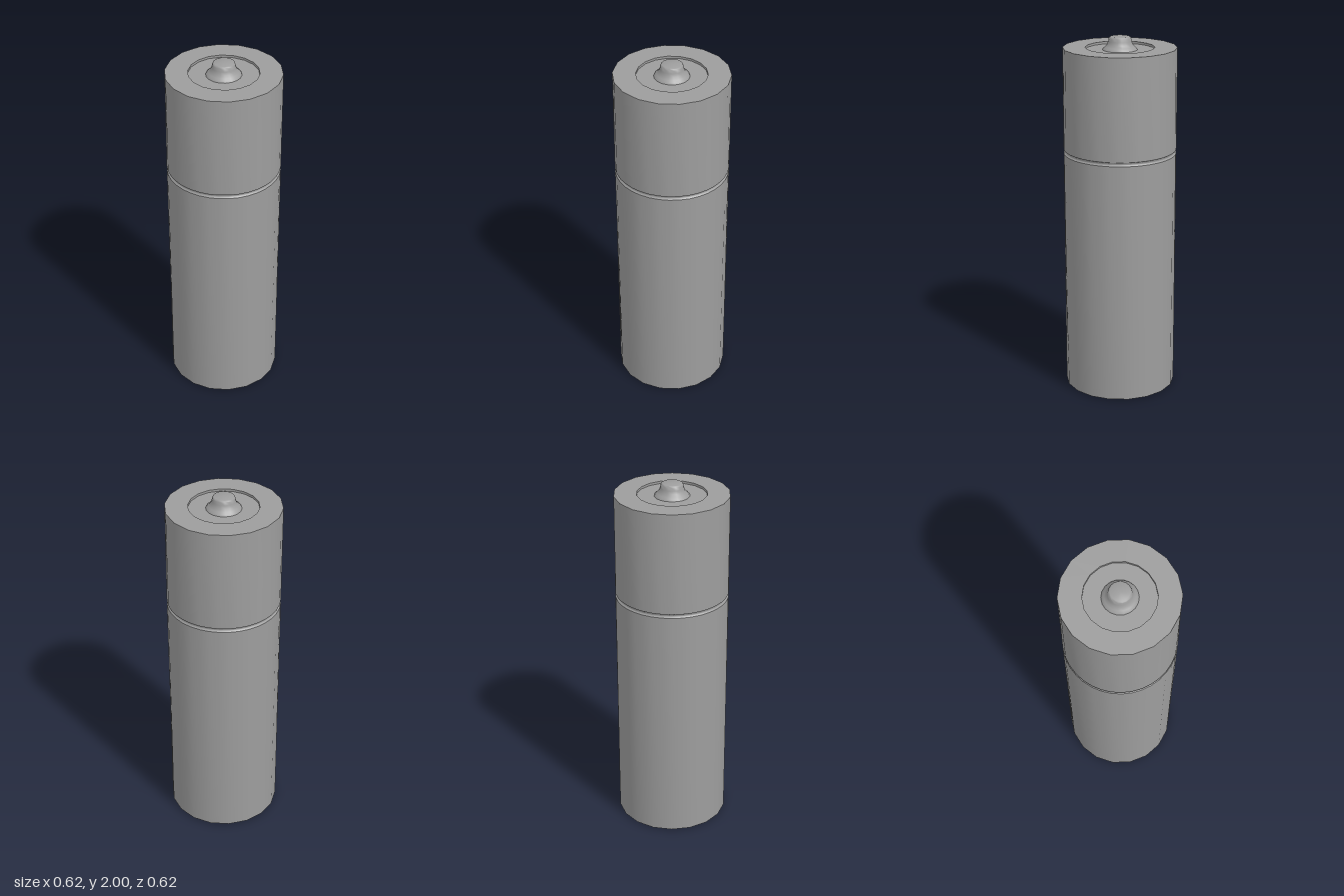
import * as THREE from 'three';
import { toCreasedNormals } from 'three/addons/utils/BufferGeometryUtils.js';

const R = 0.31;
const material = new THREE.MeshStandardMaterial({ color: 0x9d9d9d });

// Lathe from [radius, height] pairs
function lathe(profile, sides, start = 0) {
  const points = profile.map(([r, y]) => new THREE.Vector2(r, y));
  return new THREE.LatheGeometry(points, sides, start, Math.PI * 2);
}

function part(name, geometry, crease = 0.6) {
  const mesh = new THREE.Mesh(toCreasedNormals(geometry, crease), material);
  mesh.name = name;
  return mesh;
}

// Sleeve: 36 sides at the groove, narrowing to 18 sides at the outer end
function sleeve(name, grooveY, endY) {
  const ys = [grooveY, endY].sort((a, b) => a - b);
  const geometry = lathe(ys.map((y) => [R, y]), 36);
  const pos = geometry.attributes.position;
  const k = Math.cos(Math.PI / 18);
  for (let i = 0; i < pos.count; i++) {
    const column = Math.floor(i / 2);
    if (column % 2 === 0 && Math.abs(pos.getY(i) - endY) < 0.01) {
      pos.setX(i, pos.getX(i) * k);
      pos.setZ(i, pos.getZ(i) * k);
    }
  }
  return part(name, geometry);
}

export function createModel() {
  const group = new THREE.Group();
  group.name = 'battery';
  const capStart = Math.PI / 18;

  // Cylindrical casing in two sections with a shallow groove between them
  group.add(sleeve('lowerCasing', 1.36, 0.005));
  group.add(part('groove', lathe([
    [R, 1.36], [R - 0.007, 1.364], [R - 0.009, 1.371], [R - 0.007, 1.378], [R, 1.382],
  ], 36), 0.9));
  group.add(sleeve('upperCasing', 1.382, 1.942));

  // Top face with its recessed disc
  group.add(part('topCap', lathe([
    [R, 1.942], [0.188, 1.942], [0.188, 1.929], [0.09, 1.929],
  ], 18, capStart)));

  // Flared positive terminal with a softly rounded tip
  group.add(part('positiveTerminal', lathe([
    [0.095, 1.929], [0.09, 1.938], [0.08, 1.946], [0.069, 1.959],
    [0.063, 1.975], [0.06, 1.991], [0.057, 1.997], [0.051, 2], [0, 2],
  ], 18, capStart), 1));

  // Bottom face with a ring groove around the negative terminal
  group.add(part('negativeTerminal', lathe([
    [0, 0], [0.142, 0], [0.152, 0.004], [0.158, 0.018],
    [0.173, 0.018], [0.175, 0.005], [R, 0.005],
  ], 18, capStart)));

  return group;
}
